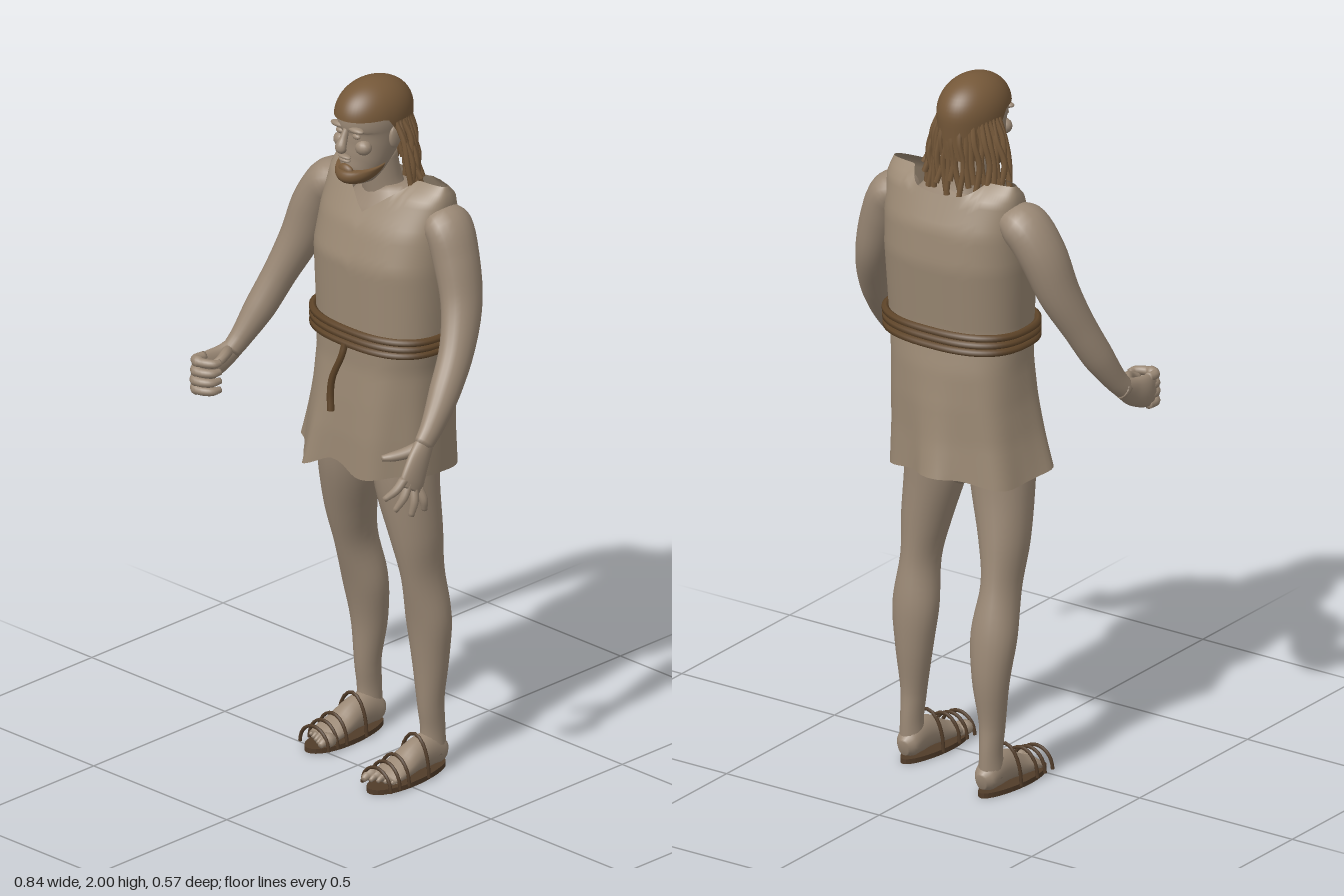
import * as THREE from 'three';

const V = (x, y, z) => new THREE.Vector3(x, y, z);
const material = (name, color, side = THREE.FrontSide) =>
  Object.assign(new THREE.MeshStandardMaterial({ color, side }), { name });

// Surface from rows of points; each row runs anticlockwise about the row direction.
function surface(rows, cols, point, capped) {
  const pos = [], idx = [];
  for (let i = 0; i <= rows; i++)
    for (let j = 0; j < cols; j++) pos.push(...point(i / rows, (j / cols) * Math.PI * 2).toArray());
  for (let i = 0; i < rows; i++)
    for (let j = 0; j < cols; j++) {
      const k = (j + 1) % cols, a = i * cols, b = a + cols;
      idx.push(a + j, a + k, b + k, a + j, b + k, b + j);
    }
  if (capped) for (const i of [0, rows]) {
    const c = V(0, 0, 0), n = pos.length / 3, s = i * cols;
    for (let j = 0; j < cols; j++) c.add(V(...pos.slice((s + j) * 3, (s + j) * 3 + 3)));
    pos.push(...c.divideScalar(cols).toArray());
    for (let j = 0; j < cols; j++) {
      const k = (j + 1) % cols;
      if (i) idx.push(n, s + j, s + k); else idx.push(n, s + k, s + j);
    }
  }
  const g = new THREE.BufferGeometry();
  g.setAttribute('position', new THREE.Float32BufferAttribute(pos, 3));
  g.setIndex(idx);
  g.computeVertexNormals();
  return g;
}

// Smooth limb through [x, y, z, half width, half depth] sections.
function sweep(sections, ref = V(0, 0, 1), cols = 20) {
  const path = new THREE.CatmullRomCurve3(sections.map(s => V(s[0], s[1], s[2])));
  const size = new THREE.CatmullRomCurve3(sections.map(s => V(s[3], s[4] ?? s[3], 0)));
  return surface((sections.length - 1) * 5, cols, (t, a) => {
    const d = path.getTangent(t), r = size.getPoint(t);
    const v = ref.clone().addScaledVector(d, -ref.dot(d)).normalize(), u = v.clone().cross(d);
    return path.getPoint(t).addScaledVector(u, Math.cos(a) * r.x).addScaledVector(v, Math.sin(a) * r.y);
  }, true);
}
const tube = (pts, r, closed = false, n = 14) =>
  new THREE.TubeGeometry(new THREE.CatmullRomCurve3(pts, closed), n, r, 6, closed);

// Tunic profile: y, left x, right x, back z, front z
const profile = [
  [1.74, -.17, .22, -.125, -.10], [1.7, -.185, .235, -.19, -.03], [1.6, -.188, .236, -.23, .03],
  [1.5, -.19, .236, -.24, .063], [1.3, -.177, .23, -.22, .06], [1.2, -.178, .212, -.238, .06],
  [1.1, -.186, .208, -.245, .07], [1, -.2, .206, -.247, .078], [.87, -.225, .207, -.255, .082]];
function around(y, a, grow = 0) {
  let i = 0;
  while (i < profile.length - 2 && y < profile[i + 1][0]) i++;
  const p = profile[i], q = profile[i + 1];
  const t = THREE.MathUtils.clamp((p[0] - y) / (p[0] - q[0]), 0, 1);
  const [x0, x1, z0, z1] = [1, 2, 3, 4].map(k => p[k] + (q[k] - p[k]) * t);
  const f = w => Math.sign(w) * Math.abs(w) ** .8;
  return V((x0 + x1) / 2 + ((x1 - x0) / 2 + grow) * f(Math.cos(a)), y,
    (z0 + z1) / 2 + ((z1 - z0) / 2 + grow) * f(Math.sin(a)));
}
const bump = (a, at, w) => Math.exp(-(((a - at) / w) ** 2));

export function createModel() {
  const model = new THREE.Group();
  const skin = material('skin', 0x9a8875);
  const cloth = material('cloth', 0x9a8873, THREE.DoubleSide);
  const hair = material('hair', 0x755839, THREE.DoubleSide);
  const rope = material('rope', 0x5f4529);
  const leather = material('leather', 0x513c29);
  const add = (name, geo, mat, parent = model) => {
    const m = new THREE.Mesh(geo, mat);
    m.name = name;
    parent.add(m);
    return m;
  };
  const group = name => {
    const g = new THREE.Group();
    g.name = name;
    model.add(g);
    return g;
  };

  // Tunic with V neck, closed shoulders and an uneven flared hem
  add('tunic', surface(44, 96, (t, a) => {
    const dx = Math.abs(around(1.7, a).x - .022), front = Math.sin(a) > 0;
    const k = Math.min(dx / .125, 1);
    const top = front ? 1.632 + .1 * k : 1.69 + .042 * k ** 3;
    const hem = .893 + .04 * bump(a, 1.62, .22) - .012 * bump(a, 2.0, .3) + .012 * Math.sin(a * 3);
    const p = around(top + (hem - top) * t, a), w = Math.max(0, (t - .55) / .45);
    const flare = .025 * Math.sin(a * 7) * w + w * w * (.1 * bump(a, 1.9, .14) + .12 * bump(a, 4.7, .16) + .07 * bump(a, 2.9, .2));
    p.x += p.x * flare;
    p.z += (p.z + .09) * flare * 1.3;
    return p;
  }, false), cloth);

  // Rope belt: three turns and a hanging end
  const belt = group('belt');
  for (const y of [1.268, 1.288, 1.308])
    add('beltTurn', tube(Array.from({ length: 32 }, (_, i) => around(y, i / 32 * Math.PI * 2, .009)), .011, true, 96), rope, belt);
  add('beltEnd', tube([V(.025, 1.27, .075), V(.02, 1.235, .082), V(-.012, 1.16, .086), V(-.018, 1.11, .087), V(-.013, 1.065, .09)], .01), rope, belt);

  // Body under the tunic and the neck
  add('chest', sweep([[.02, 1.2, -.09, .16, .11], [.02, 1.5, -.09, .17, .12], [.02, 1.62, -.095, .15, .09], [.01, 1.69, -.1, .08, .055]]), skin);
  add('hips', sweep([[0, .84, -.08, .03, .06], [0, .92, -.08, .15, .1], [.01, 1.05, -.085, .17, .12], [.02, 1.2, -.09, .16, .11]]), skin);
  add('neck', sweep([[.01, 1.64, -.1, .07, .06], [.005, 1.7, -.085, .056, .055], [0, 1.79, -.07, .053, .055]]), skin);

  // Head
  const jaw = [[0, 1.724, .018, .022, .026], [0, 1.742, .004, .046, .052], [0, 1.775, -.018, .061, .072]];
  const head = group('head');
  add('skull', sweep([...jaw, [0, 1.82, -.04, .07, .09], [0, 1.86, -.053, .076, .101], [0, 1.9, -.055, .08, .108],
    [0, 1.95, -.06, .072, .1], [0, 1.985, -.06, .035, .05]], V(0, 0, 1), 32), skin, head);
  add('nose', sweep([[0, 1.883, .044, .008, .008], [0, 1.855, .055, .011, .012], [0, 1.832, .066, .017, .014], [0, 1.822, .058, .012, .01]]), skin, head);
  const ball = (name, x, y, z, sx, sy, sz, mat = skin) => {
    const m = add(name, new THREE.SphereGeometry(1, 16, 10), mat, head);
    m.position.set(x, y, z);
    m.scale.set(sx, sy, sz);
  };
  for (const s of [-1, 1]) {
    ball('brow', s * .032, 1.886, .04, .028, .009, .014);
    ball('eye', s * .031, 1.866, .037, .014, .008, .008);
    ball('cheek', s * .04, 1.832, .02, .025, .022, .022);
    ball('ear', s * .079, 1.85, -.06, .009, .032, .02);
  }
  ball('upperLip', 0, 1.803, .051, .023, .006, .011);
  ball('lowerLip', 0, 1.793, .05, .02, .006, .011);
  ball('chin', 0, 1.762, .046, .026, .018, .013, hair);

  // Beard along the jaw
  add('beard', surface(8, 40, (t, a) => {
    const rim = 1.772 - .008 * Math.sin(a), y = rim + (1.722 - rim) * t;
    const k = Math.sqrt(Math.max(0, 1 - t * t * .82));
    return V(.064 * k * Math.cos(a), y, -.018 + .03 * t + (.077 * k) * Math.sin(a));
  }, true), hair, head);

  // Hair cap, low at the back, with hanging locks
  add('hairCap', surface(20, 56, (t, a) => {
    const s = Math.sin(a);
    const hem = s > .25 ? 1.912 : 1.912 - .125 * Math.min(1, (.25 - s) / .75);
    const y = 2 + (hem - 2) * (1 - Math.cos(t * Math.PI / 2));
    const k = y > 1.9 ? Math.sqrt(Math.max(0, 1 - ((y - 1.9) / .1) ** 2.2)) : 1 - (1.9 - y) * .7;
    return V(.088 * k * Math.cos(a), y, -.06 + .124 * k * s);
  }, false), hair, head);
  const locks = group('hairLocks');
  for (let i = 0; i < 26; i++) {
    const a = Math.PI * (.99 + 1.02 * i / 25), c = Math.cos(a), s = Math.sin(a);
    const w = .007 * Math.sin(i * 2.4), end = 1.705 + .025 * Math.sin(i * 1.7);
    const out = .008 + .022 * Math.abs(c);
    add('lock', tube([V(.08 * c, 1.895, -.065 + .1 * s), V((.09 + out / 2) * c, 1.84, -.07 + .1 * s + w),
      V((.09 + out) * c + w, 1.78, -.072 + .098 * s), V((.098 + out) * c - w, end, -.08 + .092 * s + w)], .0085), hair, locks);
  }

  // Arms
  add('rightArm', sweep([[-.15, 1.645, -.11, .04, .055], [-.205, 1.62, -.11, .063, .075], [-.252, 1.55, -.1, .062, .072], [-.288, 1.44, -.075, .055, .062],
    [-.325, 1.33, -.03, .045, .05], [-.352, 1.24, .015, .042, .045], [-.375, 1.16, .065, .03, .034], [-.385, 1.125, .095, .026, .03]]), skin);
  add('leftArm', sweep([[.19, 1.645, -.11, .04, .055], [.235, 1.62, -.105, .058, .073], [.27, 1.54, -.1, .058, .068], [.305, 1.43, -.085, .05, .062],
    [.338, 1.32, -.035, .043, .052], [.36, 1.22, .035, .04, .045], [.375, 1.14, .1, .028, .034], [.38, 1.1, .14, .022, .029]]), skin);

  // Closed right hand
  const fist = group('rightHand');
  add('palm', sweep([[-.383, 1.135, .08, .026, .028], [-.392, 1.11, .125, .02, .04], [-.4, 1.098, .17, .018, .046], [-.4, 1.093, .2, .014, .044]], V(0, 1, 0)), skin, fist);
  for (let i = 0; i < 4; i++) {
    const y = 1.055 + i * .026, d = .008 * Math.sin(i + .6);
    add('finger', sweep([[-.4, y, .18, .013], [-.402, y, .212, .013], [-.375, y, .222 + d, .013], [-.342, y, .206 + d, .012], [-.336, y, .184, .009]], V(0, 1, 0), 10), skin, fist);
  }
  add('thumb', sweep([[-.385, 1.13, .105, .016], [-.36, 1.138, .14, .015], [-.352, 1.13, .17, .013], [-.36, 1.122, .195, .009]], V(0, 1, 0), 10), skin, fist);

  // Open left hand
  const hand = group('leftHand');
  add('palm', sweep([[.379, 1.11, .13, .022, .029], [.388, 1.065, .165, .018, .038], [.396, 1.02, .195, .015, .043], [.4, 1, .208, .011, .036]]), skin, hand);
  const tips = [[.372, .985, .277], [.385, .947, .25], [.404, .925, .207], [.408, .93, .16]];
  tips.forEach(([x, y, z], i) => {
    const k = V(.396, 1.036 - i * .014, .226 - i * .018);
    add('finger', sweep([[k.x, k.y, k.z, .013], [(k.x + x) / 2 + .008, (k.y + y) / 2, (k.z + z) / 2, .012], [x, y, z, .008]], V(1, 0, 0), 10), skin, hand);
  });
  add('thumb', sweep([[.378, 1.1, .145, .018], [.355, 1.085, .182, .016], [.335, 1.078, .212, .013], [.318, 1.075, .232, .008]], V(0, 1, 0), 10), skin, hand);

  // Legs, feet and sandals; the left foot stands ahead
  const leg = [[.1, .98, -.075, .09, .1], [.113, .85, -.073, .085, .092], [.138, .7, -.083, .066, .078], [.148, .58, -.097, .051, .066],
    [.15, .45, -.117, .065, .06], [.152, .33, -.122, .052, .051], [.155, .2, -.12, .034, .04], [.156, .12, -.127, .029, .038], [.156, .05, -.125, .034, .042]];
  for (const s of [-1, 1]) {
    const side = s > 0 ? 'left' : 'right', back = s > 0 ? 0 : -.075;
    const lag = y => back * THREE.MathUtils.clamp((.95 - y) / .6, 0, 1);
    add(side + 'Leg', sweep(leg.map(([x, y, z, a, b]) => [s * x, y, z + lag(y), a, b])), skin);
    const foot = group(side + 'Foot');
    foot.position.set(s * .154, 0, back);
    add('foot', sweep([[0, .045, -.172, .016, .022], [0, .05, -.15, .034, .037], [0, .063, -.11, .037, .05], [0, .06, -.06, .039, .044],
      [0, .045, -.01, .045, .031], [0, .035, .035, .048, .021], [0, .028, .06, .044, .014]], V(0, 1, 0)), skin, foot);
    for (let i = 0; i < 5; i++) {
      const x = s * (-.036 + i * .018), r = i ? .0095 - i * .0005 : .013, z = .1 - i * .009;
      add('toe', sweep([[x, .03, .04, r], [x, .034, z - .018, r], [x, .026, z, r * .6]], V(0, 1, 0), 10), skin, foot);
    }
    const outline = new THREE.Shape(Array.from({ length: 32 }, (_, i) => {
      const a = i / 32 * Math.PI * 2, y = Math.sin(a);
      return new THREE.Vector2((.05 - .008 * y) * Math.cos(a), .03 + .142 * y);
    }));
    const sole = add('sole', new THREE.ExtrudeGeometry(outline, { depth: .014, bevelEnabled: false }), leather, foot);
    sole.rotation.x = -Math.PI / 2;
    for (const [z, h] of [[.085, .058], [.05, .065], [.015, .075], [-.06, .112]]) {
      const arch = Array.from({ length: 9 }, (_, i) => V(-.054 * Math.cos(i / 8 * Math.PI), .01 + h * Math.sin(i / 8 * Math.PI), z));
      add('strap', tube(arch, .005), leather, foot);
    }
  }
  return model;
}
